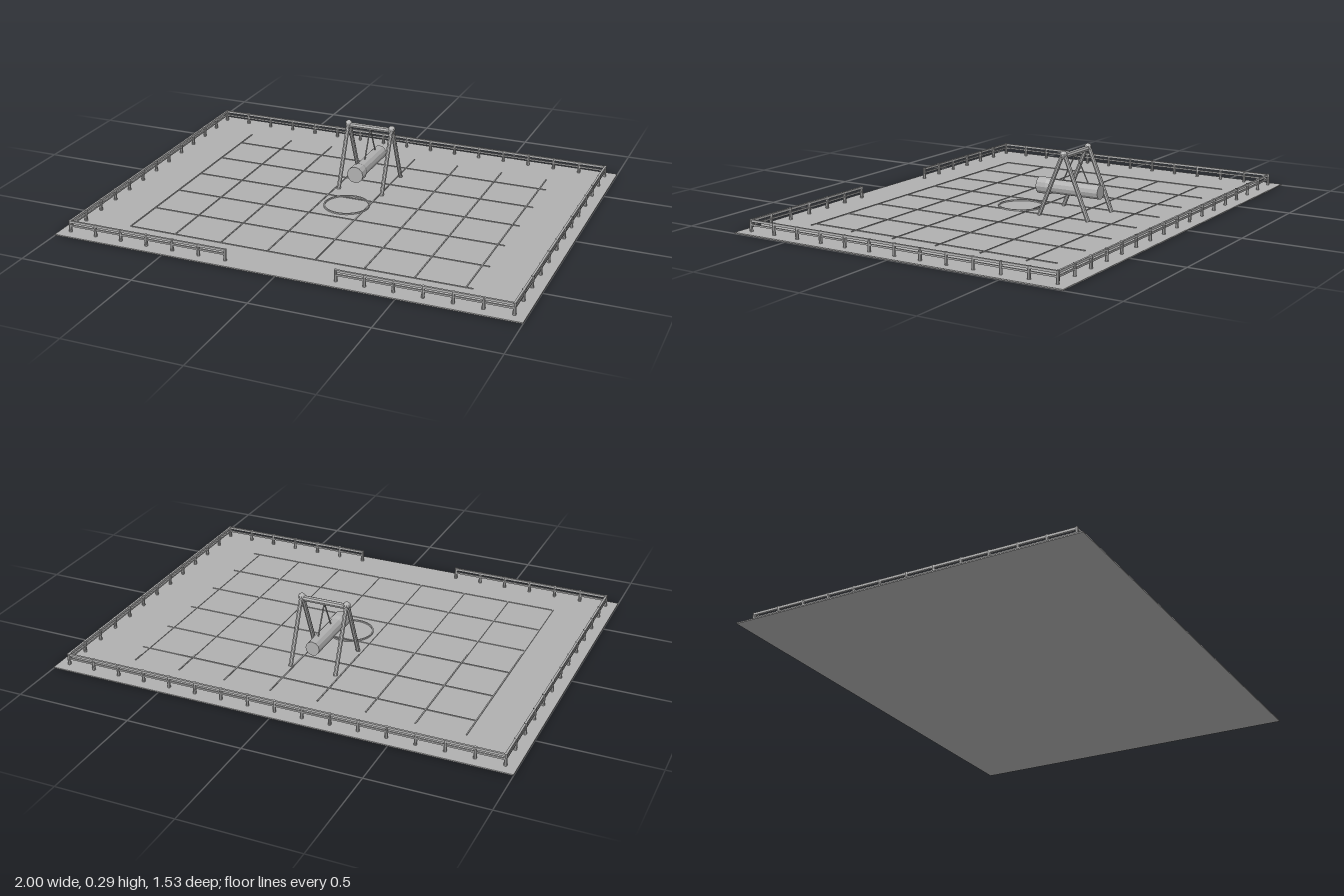
import * as THREE from 'three';

const stone = new THREE.MeshStandardMaterial({ color: 0xb0b0b0, flatShading: true });
stone.name = 'stone grey';

export function createModel() {
  const model = new THREE.Group();

  function part(name, geometry, parent = model) {
    const mesh = new THREE.Mesh(geometry, stone);
    mesh.name = name;
    parent.add(mesh);
    return mesh;
  }
  function box(name, w, h, d, x, y, z, parent) {
    const mesh = part(name, new THREE.BoxGeometry(w, h, d), parent);
    mesh.position.set(x, y, z);
    return mesh;
  }
  // Round bar between two points
  function bar(name, a, b, radius, sides, parent) {
    const from = new THREE.Vector3(...a), to = new THREE.Vector3(...b);
    const dir = to.clone().sub(from);
    const mesh = part(name, new THREE.CylinderGeometry(radius, radius, dir.length(), sides), parent);
    mesh.position.copy(from).add(to).multiplyScalar(0.5);
    mesh.quaternion.setFromUnitVectors(new THREE.Vector3(0, 1, 0), dir.normalize());
    return mesh;
  }
  function group(name) {
    const g = new THREE.Group();
    g.name = name;
    model.add(g);
    return g;
  }

  // Courtyard slab
  const top = 0.005;
  box('courtyardSlab', 2, top, 1.526, 0, top / 2, 0);

  // Raised paving lines
  const paving = group('pavingLines');
  const lineH = 0.003, lineY = top + lineH / 2;
  for (let i = 0; i < 8; i++) box('lengthwiseLine', 0.005, lineH, 1.15, -0.75 + i * 0.21, lineY, 0, paving);
  for (let i = 0; i < 6; i++) box('crosswiseLine', 1.5, lineH, 0.004, 0, lineY, 0.575 - i * 0.207, paving);

  // Low ring on the floor in front of the log
  const ringShape = new THREE.Shape().absarc(0, 0, 0.1, 0, Math.PI * 2);
  ringShape.holes.push(new THREE.Path().absarc(0, 0, 0.094, 0, Math.PI * 2, true));
  const ring = part('floorRing', new THREE.ExtrudeGeometry(ringShape, { depth: 0.006, bevelEnabled: false, curveSegments: 24 }));
  ring.rotation.x = -Math.PI / 2;
  ring.position.set(0, top, 0.03);

  // Fence: posts and two rails, with an opening at the front
  const fence = group('fence');
  const fx = 0.953, fz = 0.715, gap = 0.235;
  const rails = [[0.05, 0.01, 0.009], [0.033, 0.007, 0.007]];
  for (const [y, h, d] of rails) {
    box('backRail', fx * 2, h, d, 0, y, -fz, fence);
    for (const s of [-1, 1]) {
      box('sideRail', d, h, fz * 2, s * fx, y, 0, fence);
      box('frontRail', fx - gap, h, d, s * (fx + gap) / 2, y, fz, fence);
    }
  }
  const post = (x, z) => bar('fencePost', [x, top, z], [x, 0.056, z], 0.007, 8, fence);
  for (let i = 0; i <= 16; i++) {
    const x = -fx + (i * fx) / 8;
    post(x, -fz);
    if (Math.abs(x) > gap) post(x, fz);
  }
  for (let i = 1; i < 12; i++) {
    for (const s of [-1, 1]) post(s * fx, -fz + (i * fz) / 6);
  }

  // Two A-shaped supports and the crossbeam
  const frame = group('supportFrame');
  const fzMid = -0.24, apexY = 0.275;
  for (const s of [-1, 1]) {
    for (const d of [-1, 1]) {
      bar('frameLeg', [s * 0.102, top, fzMid + d * 0.118], [s * 0.102, apexY + 0.003, fzMid + d * 0.004], 0.0095, 8, frame);
    }
    const joint = part('frameJoint', new THREE.SphereGeometry(0.016, 10, 8), frame);
    joint.position.set(s * 0.102, apexY, fzMid);
  }
  bar('crossbeam', [-0.11, 0.269, fzMid], [0.11, 0.269, fzMid], 0.0125, 8, frame);

  // Hanging log with a thicker striking head
  const ram = group('hangingLog');
  const profile = [[0, 0], [0.031, 0], [0.031, 0.232], [0.037, 0.25], [0.037, 0.296], [0, 0.296]];
  const log = part('log', new THREE.LatheGeometry(profile.map(p => new THREE.Vector2(...p)), 12), ram);
  log.rotation.x = Math.PI / 2;
  log.position.set(0, 0.11, -0.36);

  // Ropes
  for (const d of [-1, 1]) {
    bar('rope', [0, 0.265, fzMid], [0, 0.135, fzMid + d * 0.064], 0.003, 6, ram);
  }

  return model;
}
